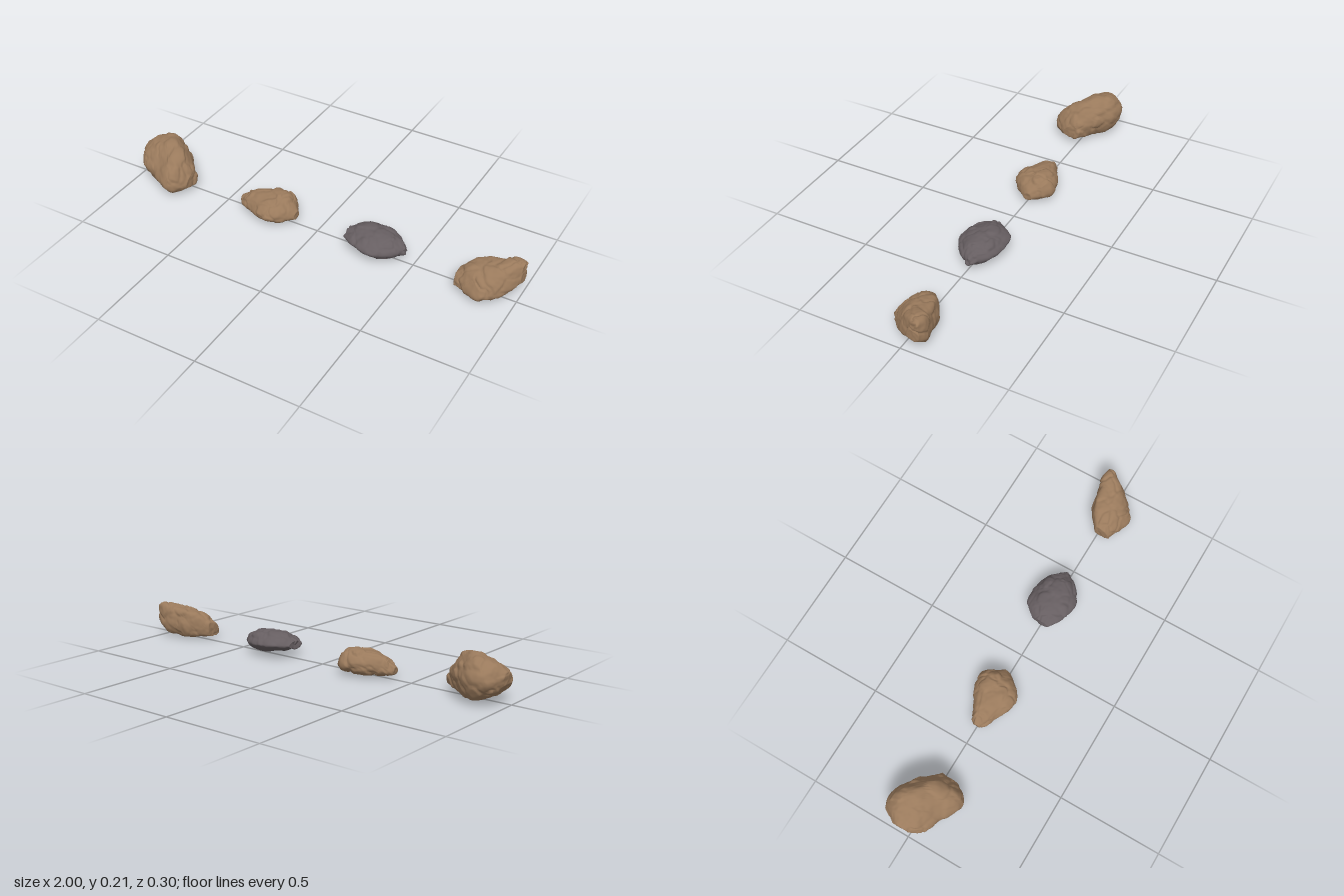
import * as THREE from 'three';

const brownStone = new THREE.MeshStandardMaterial({ color: 0x9a7a5c });
brownStone.name = 'brownStone';
const greyStone = new THREE.MeshStandardMaterial({ color: 0x665e61 });
greyStone.name = 'greyStone';

// Seeded lattice hash, 0..1
function hash(x, y, z, seed) {
  const s = Math.sin(x * 127.1 + y * 311.7 + z * 74.7 + seed * 53.3) * 43758.5453;
  return s - Math.floor(s);
}

// Smooth value noise, -1..1
function noise(x, y, z, seed) {
  const c = [x, y, z].map(Math.floor);
  const f = [x - c[0], y - c[1], z - c[2]].map((t) => t * t * (3 - 2 * t));
  let sum = 0;
  for (let k = 0; k < 8; k++) {
    const o = [k & 1, (k >> 1) & 1, k >> 2];
    const w = o.reduce((p, b, i) => p * (b ? f[i] : 1 - f[i]), 1);
    sum += w * hash(c[0] + o[0], c[1] + o[1], c[2] + o[2], seed);
  }
  return sum * 2 - 1;
}

// Cellular relief: chipped plates with a crack where they meet
function chips(x, y, z, seed) {
  const c = [x, y, z].map(Math.floor);
  let near = 9, second = 9, level = 0;
  for (let i = -1; i <= 1; i++) for (let j = -1; j <= 1; j++) for (let k = -1; k <= 1; k++) {
    const a = c[0] + i, b = c[1] + j, d = c[2] + k;
    const dist = Math.hypot(a + hash(a, b, d, seed) - x, b + hash(a, b, d, seed + 1) - y, d + hash(a, b, d, seed + 2) - z);
    if (dist < near) {
      second = near;
      near = dist;
      level = hash(a, b, d, seed + 3) - 0.5;
    } else if (dist < second) second = dist;
  }
  const edge = Math.min(1, (second - near) / 0.16);
  return level * edge - 0.5 * (1 - edge);
}

const spline = (points, closed) => new THREE.CatmullRomCurve3(points, closed, 'centripetal');

// Stations along x: [x, bottom, top, back, front]; section: (z, y) loop from the front over the top
function makeRock(name, material, seed, stations, section) {
  const COLS = 84, ROWS = 60, CAP = 8;
  const loop = spline(section.map(([z, y]) => new THREE.Vector3(0, y, z)), true).getSpacedPoints(COLS).slice(0, COLS);
  const box = new THREE.Box3().setFromPoints(loop);
  const size = box.getSize(new THREE.Vector3()), mid = box.getCenter(new THREE.Vector3());
  const lower = spline(stations.map(([x, bottom, , back]) => new THREE.Vector3(x, bottom, back)), false);
  const upper = spline(stations.map(([x, , top, , front]) => new THREE.Vector3(x, top, front)), false);

  const pos = [], index = [];
  const total = ROWS + 2 * CAP;
  for (let r = 0; r <= total; r++) {
    const t = THREE.MathUtils.clamp((r - CAP) / ROWS, 0, 1);
    const a = lower.getPoint(t), b = upper.getPoint(t);
    // End rings shrink to close the stone
    const s = Math.max(0.002, Math.min(1, r / CAP, (total - r) / CAP));
    for (const p of loop) {
      pos.push(
        (a.x + b.x) / 2,
        (a.y + b.y) / 2 + ((p.y - mid.y) / size.y) * (b.y - a.y) * s,
        (a.z + b.z) / 2 + ((p.z - mid.z) / size.z) * (b.z - a.z) * s,
      );
    }
  }
  for (let r = 0; r < total; r++) for (let c = 0; c < COLS; c++) {
    const p = r * COLS + c, q = r * COLS + (c + 1) % COLS;
    index.push(p, p + COLS, q, q, p + COLS, q + COLS);
  }
  const geo = new THREE.BufferGeometry();
  geo.setAttribute('position', new THREE.Float32BufferAttribute(pos, 3));
  geo.setIndex(index);
  geo.computeVertexNormals();

  // Weathered surface, with the underside kept above the ground
  const P = geo.attributes.position, N = geo.attributes.normal;
  for (let i = 0; i < P.count; i++) {
    const x = P.getX(i), y = P.getY(i), z = P.getZ(i);
    const wob = noise(x * 28, y * 28, z * 28, seed);
    const d = 0.008 * chips(x * 13 + wob * 0.25, y * 13 + wob * 0.25, z * 13, seed)
      + 0.004 * wob + 0.0015 * noise(x * 70, y * 70, z * 70, seed + 9);
    P.setXYZ(i, x + N.getX(i) * d, Math.max(0, y + N.getY(i) * d), z + N.getZ(i) * d);
  }
  geo.computeVertexNormals();
  const mesh = new THREE.Mesh(geo, material);
  mesh.name = name;
  return mesh;
}

export function createModel() {
  const group = new THREE.Group();
  group.name = 'rockSet';

  // Tall rounded boulder
  group.add(makeRock('largeBoulder', brownStone, 3,
    [[-0.998, 0.09, 0.15, -0.07, 0.01], [-0.95, 0.045, 0.187, -0.14, 0.07], [-0.87, 0.005, 0.21, -0.15, 0.1],
      [-0.76, 0.006, 0.187, -0.075, 0.147], [-0.69, 0.03, 0.1, -0.01, 0.08]],
    [[0.15, 0.06], [0.07, 0.17], [-0.055, 0.21], [-0.13, 0.155], [-0.148, 0.1], [-0.09, 0.005], [0.11, 0.005]]));

  // Low wedge with a flat base
  group.add(makeRock('flatWedgeRock', brownStone, 17,
    [[-0.415, 0.025, 0.06, -0.015, 0.02], [-0.355, 0.012, 0.1, -0.055, 0.06], [-0.25, 0.006, 0.118, -0.103, 0.105],
      [-0.185, 0.005, 0.118, -0.105, 0.085], [-0.12, 0.02, 0.06, -0.03, 0.015]],
    [[0.105, 0.045], [0.06, 0.1], [-0.06, 0.12], [-0.11, 0.055], [-0.075, 0.006], [0.07, 0.006]]));

  // Flattened grey stone, widest at mid height
  group.add(makeRock('greyRock', greyStone, 29,
    [[0.165, 0.045, 0.085, -0.045, 0.045], [0.22, 0.03, 0.112, -0.1, 0.082], [0.325, 0.008, 0.121, -0.112, 0.107],
      [0.4, 0.012, 0.108, -0.08, 0.065], [0.455, 0.04, 0.075, -0.025, 0.005]],
    [[0.107, 0.06], [0.04, 0.112], [-0.05, 0.115], [-0.112, 0.06], [-0.05, 0.012], [0.04, 0.01]]));

  // Stone rising to a blunt raised end
  group.add(makeRock('slantedRock', brownStone, 41,
    [[0.725, 0.015, 0.09, -0.015, 0.068], [0.79, 0.008, 0.137, -0.068, 0.088], [0.87, 0.006, 0.15, -0.09, 0.102],
      [0.95, 0.02, 0.172, -0.107, 0.04], [0.998, 0.07, 0.168, -0.092, -0.03]],
    [[0.107, 0.03], [0.03, 0.165], [-0.08, 0.18], [-0.105, 0.09], [-0.085, 0.006], [0.08, 0.006]]));

  return group;
}
